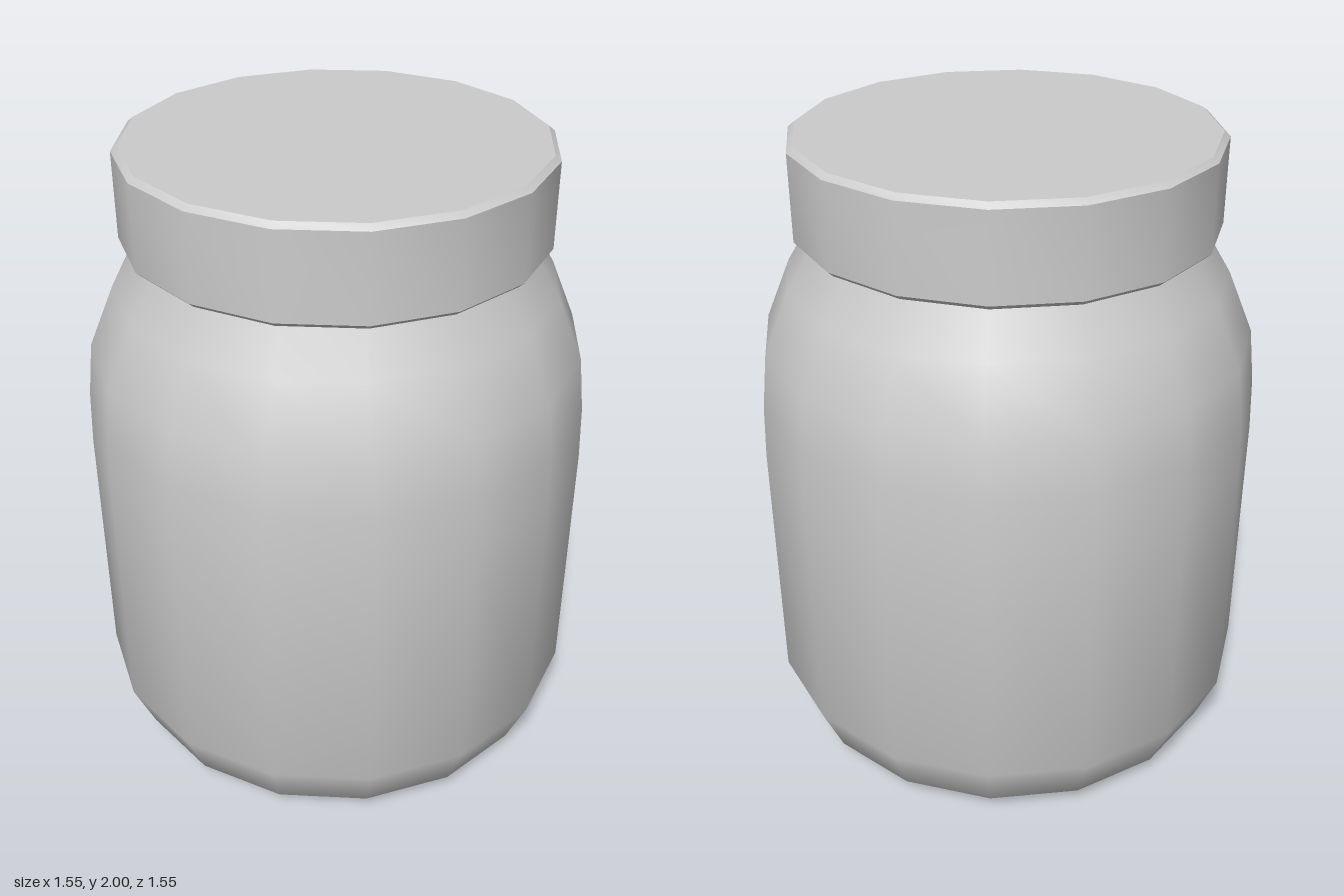
import * as THREE from 'three';
import { toCreasedNormals } from 'three/addons/utils/BufferGeometryUtils.js';

const SIDES = 16;
const material = new THREE.MeshStandardMaterial({ color: 0xcccccc });

// Spins a profile of [radius, height] pairs, running from the bottom centre upwards
function turned(name, profile) {
  const points = profile.map(([r, y]) => new THREE.Vector2(r, y));
  const geometry = toCreasedNormals(new THREE.LatheGeometry(points, SIDES), 0.6);
  const mesh = new THREE.Mesh(geometry, material);
  mesh.name = name;
  return mesh;
}

export function createModel() {
  const jar = new THREE.Group();
  jar.name = 'jar';

  // Jar body: recessed base, foot ring, straight wall, rounded shoulder, neck
  jar.add(turned('body', [
    [0, 0.03], [0.53, 0.03], [0.57, 0], [0.64, 0.01],
    [0.71, 0.07], [0.777, 0.23], [0.777, 1.04], [0.77, 1.21], [0.75, 1.38],
    [0.67, 1.57], [0.585, 1.71], [0.57, 1.75], [0.57, 1.9], [0, 1.9],
  ]));

  // Screw lid with bevelled rims, closed underneath around the neck
  jar.add(turned('lid', [
    [0.56, 1.725], [0.61, 1.725], [0.622, 1.71], [0.638, 1.725],
    [0.638, 1.985], [0.62, 2], [0, 2],
  ]));

  return jar;
}
